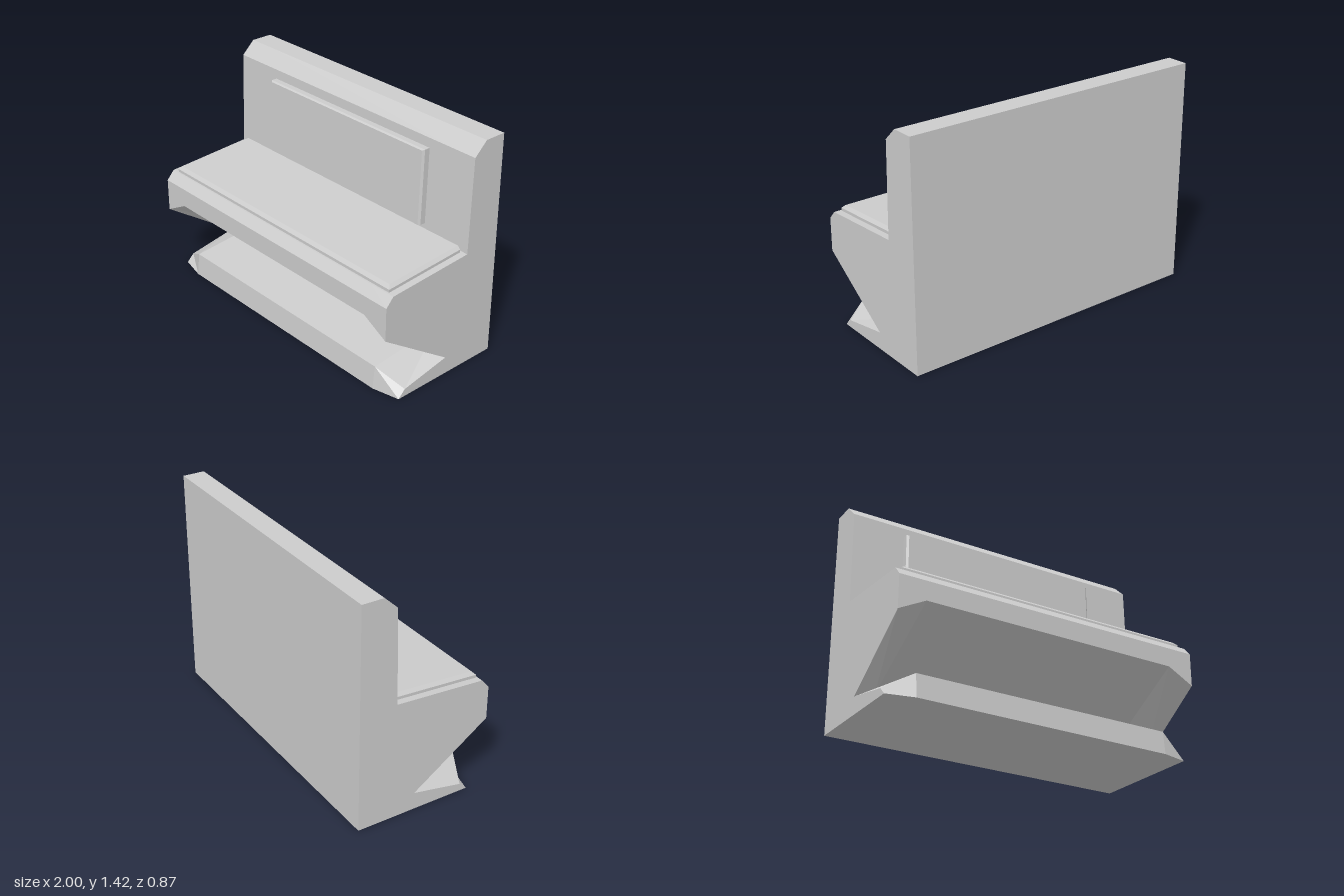
import * as THREE from 'three';

const material = new THREE.MeshStandardMaterial({ color: 0xcccccc, flatShading: true });

// Solid through a row of rings; flat(p) gives the 2D view of a ring from its last end,
// where the ring runs counter-clockwise.
function loft(name, rings, flat) {
  const pos = [];
  const tri = (...pts) => pts.forEach((p) => pos.push(...p));
  const n = rings[0].length;
  for (let i = 0; i < rings.length - 1; i++) {
    for (let j = 0; j < n; j++) {
      const k = (j + 1) % n;
      const [a, b, c, d] = [rings[i][j], rings[i][k], rings[i + 1][k], rings[i + 1][j]];
      tri(a, b, c);
      tri(a, c, d);
    }
  }
  const first = rings[0], last = rings[rings.length - 1];
  const outline = last.map((p) => new THREE.Vector2(...flat(p)));
  for (const [a, b, c] of THREE.ShapeUtils.triangulateShape(outline, [])) {
    tri(last[a], last[b], last[c]);
    tri(first[c], first[b], first[a]);
  }
  const geometry = new THREE.BufferGeometry();
  geometry.setAttribute('position', new THREE.Float32BufferAttribute(pos, 3));
  geometry.computeVertexNormals();
  const mesh = new THREE.Mesh(geometry, material);
  mesh.name = name;
  return mesh;
}

// Side profile as [z, y]; the knee recess and foot differ between middle and ends
const upper = [
  [-0.43, 0], [-0.43, 1.42], [-0.29, 1.42], [-0.205, 1.34],
  [-0.19, 0.747], [0.385, 0.711], [0.435, 0.655],
];
const middle = [...upper, [0.435, 0.535], [-0.155, 0.195], [0.343, 0.145], [0.358, 0]];
const end = [...upper, [0.435, 0.445], [-0.055, 0.11], [0.27, 0.047], [0.318, 0]];

export function createModel() {
  const model = new THREE.Group();
  model.name = 'console';

  // Cabinet with back panel, desk, recess and foot
  const at = (x, profile) => profile.map(([z, y]) => [x, y, z]);
  model.add(loft('cabinet',
    [at(-1, end), at(-0.83, middle), at(0.83, middle), at(1, end)],
    ([, y, z]) => [-z, y]));

  // Sloping desk panel, bevelled at the front and sides
  const deskRing = (x, front, lift) =>
    [[-x, front], [x, front], [x, -0.177], [-x, -0.177]]
      .map(([px, z]) => [px, 0.735 - 0.062 * z + lift, z]);
  model.add(loft('deskPanel',
    [deskRing(0.957, 0.375, -0.005), deskRing(0.957, 0.375, 0.018), deskRing(0.938, 0.355, 0.036)],
    ([x, , z]) => [x, -z]));

  // Upright screen, leaning with the back panel
  const screenRing = (x, top, lift) =>
    [[-x, 0.806], [x, 0.806], [x, top], [-x, top]]
      .map(([px, y]) => [px, y, -0.19 - 0.025 * (y - 0.747) + lift]);
  model.add(loft('screen',
    [screenRing(0.665, 1.28, -0.005), screenRing(0.665, 1.28, 0.036), screenRing(0.652, 1.273, 0.047)],
    ([x, y]) => [x, y]));

  return model;
}
